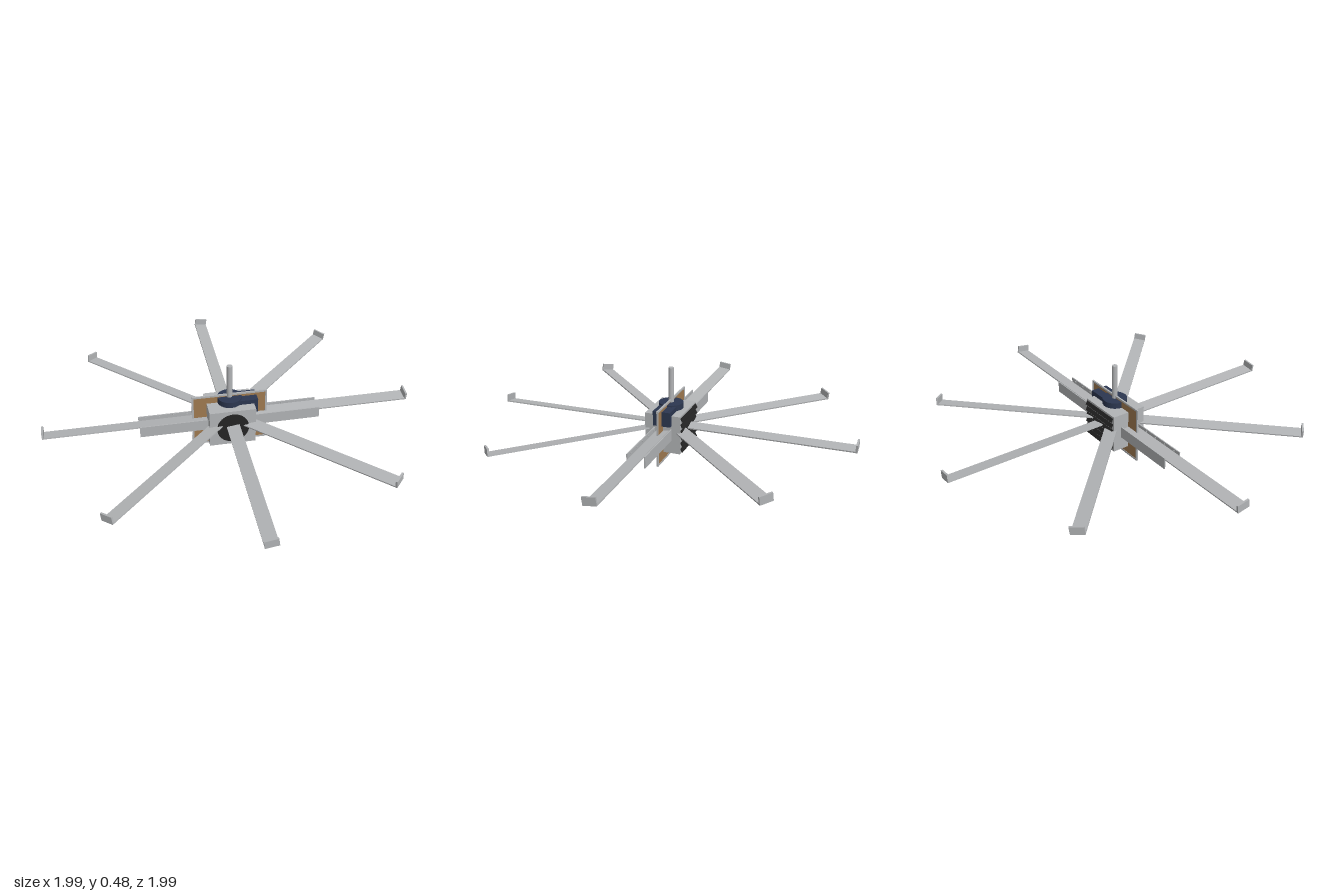
import * as THREE from 'three';

const paint = (name, color) => {
  const m = new THREE.MeshStandardMaterial({ color });
  m.name = name;
  return m;
};

export function createModel() {
  const root = new THREE.Group();
  root.name = 'ceilingFan';
  const metal = paint('light grey metal', 0xb2b4b6);
  const black = paint('black', 0x242424);
  const navy = paint('motor navy', 0x2c3750);
  const brown = paint('panel brown', 0xa07a50);

  const add = (parent, name, geometry, material, x, y, z) => {
    const mesh = new THREE.Mesh(geometry, material);
    mesh.name = name;
    mesh.position.set(x, y, z);
    parent.add(mesh);
    return mesh;
  };
  const box = (parent, name, material, w, h, d, x, y, z) =>
    add(parent, name, new THREE.BoxGeometry(w, h, d), material, x, y, z);

  // Eight pitched blades with upturned tips
  for (let i = 0; i < 8; i++) {
    const arm = new THREE.Group();
    arm.name = 'bladeArm';
    arm.position.y = 0.172;
    arm.rotation.y = (i * Math.PI) / 4;
    const blade = new THREE.Group();
    blade.name = 'blade';
    blade.rotation.x = 0.14;
    box(blade, 'bladePlank', metal, 0.95, 0.007, 0.07, 0.521, 0, 0);
    box(blade, 'bladeTip', metal, 0.01, 0.042, 0.07, 0.992, 0.017, 0);
    arm.add(blade);
    root.add(arm);
  }

  // Gearbox housing
  box(root, 'housing', metal, 0.25, 0.21, 0.195, 0, 0.157, 0.002);

  // Round black grille on the front
  const disc = add(root, 'frontDisc', new THREE.CylinderGeometry(0.086, 0.086, 0.008, 40), black, 0, 0.157, 0.102);
  disc.rotation.x = Math.PI / 2;

  // Sloping louvres on the back
  for (let i = 0; i < 6; i++) {
    const slat = box(root, 'louvre', black, 0.235, 0.022, 0.006, 0, 0.072 + i * 0.034, -0.102);
    slat.rotation.x = 0.45;
  }

  // Upright panel with a thin metal frame
  box(root, 'panel', brown, 0.39, 0.29, 0.005, 0, 0.155, 0);
  for (const s of [-1, 1]) {
    box(root, 'panelFrameSide', metal, 0.01, 0.31, 0.009, s * 0.2, 0.155, 0);
    box(root, 'panelFrameEdge', metal, 0.41, 0.01, 0.009, 0, 0.155 + s * 0.15, 0);
  }

  // Side rails with small bolts
  for (const s of [-1, 1]) {
    box(root, 'rail', metal, 0.98, 0.062, 0.006, 0, 0.157, s * 0.047);
    for (let i = 0; i < 5; i++) {
      for (const side of [-1, 1]) {
        box(root, 'railBolt', metal, 0.007, 0.007, 0.005, side * (0.15 + i * 0.075), 0.178, s * 0.042);
      }
    }
  }

  // Motor, its control box and the hanging rod
  add(root, 'motor', new THREE.CylinderGeometry(0.066, 0.066, 0.06, 32), navy, 0, 0.264, 0);
  box(root, 'controlBox', navy, 0.105, 0.08, 0.095, 0.094, 0.246, 0);
  add(root, 'hangingRod', new THREE.CylinderGeometry(0.015, 0.015, 0.21, 24), metal, 0, 0.38, 0);

  return root;
}
